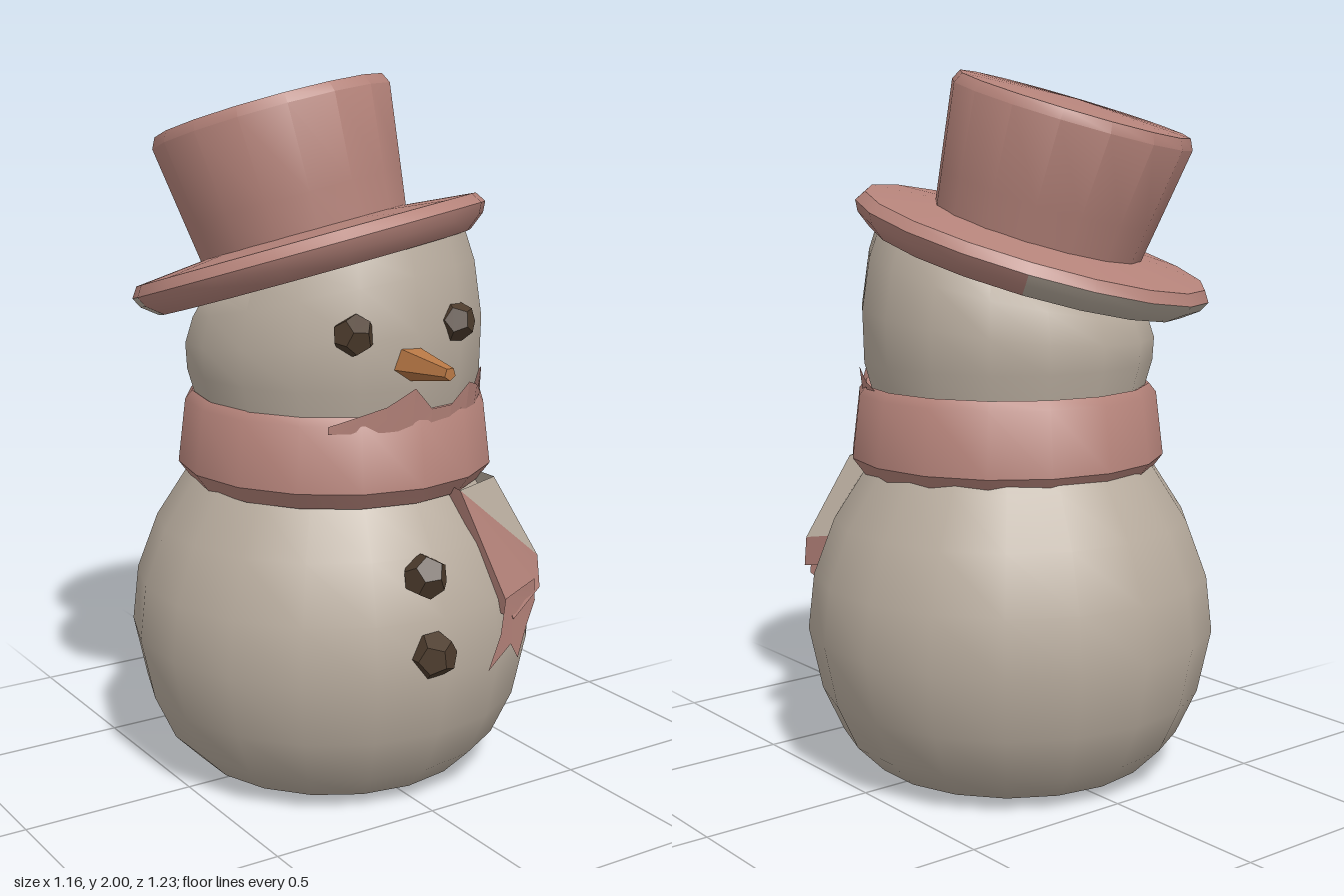
import * as THREE from 'three';
import { toCreasedNormals } from 'three/addons/utils/BufferGeometryUtils.js';

const material = (name, color, side = THREE.FrontSide) => {
  const m = new THREE.MeshStandardMaterial({ color, side });
  m.name = name;
  return m;
};

export function createModel() {
  const snow = material('snow', 0xb8ac9e, THREE.DoubleSide);
  const red = material('dusty red', 0xb5837a, THREE.DoubleSide);
  const coal = material('coal', 0x4d3c2d);
  const orange = material('carrot orange', 0xb87845);
  const model = new THREE.Group();
  model.name = 'snowman';

  const add = (name, geo, mat, parent = model, crease = 0.7) => {
    const mesh = new THREE.Mesh(toCreasedNormals(geo, crease), mat);
    mesh.name = name;
    parent.add(mesh);
    return mesh;
  };
  const lathe = (pts, seg, start = 0, length = Math.PI * 2) =>
    new THREE.LatheGeometry(pts.map(p => new THREE.Vector2(...p)), seg, start, length);
  // Fan of triangles over a list of corners
  const fan = pts => {
    const pos = [];
    for (let i = 1; i < pts.length - 1; i++) pos.push(...pts[0], ...pts[i], ...pts[i + 1]);
    const geo = new THREE.BufferGeometry();
    geo.setAttribute('position', new THREE.Float32BufferAttribute(pos, 3));
    return geo;
  };

  // Body
  add('body', lathe([[0, 0], [0.3, 0.005], [0.41, 0.03], [0.49, 0.11], [0.55, 0.24], [0.588, 0.42],
    [0.57, 0.58], [0.51, 0.74], [0.42, 0.88], [0.36, 0.96]], 18), snow, model, 1)
    .position.z = -0.025;

  // Head, its upper rings leaning with the hat
  const headGeo = lathe([[0.37, 0.95], [0.39, 1.09], [0.418, 1.19], [0.422, 1.3], [0.4, 1.41], [0.37, 1.48], [0, 1.5]], 16);
  const p = headGeo.attributes.position;
  for (let i = 0; i < p.count; i++) {
    const t = THREE.MathUtils.clamp((p.getY(i) - 1.2) / 0.28, 0, 1);
    p.setY(i, p.getY(i) + t * (0.16 * p.getX(i) + 0.26 * p.getZ(i)));
  }
  add('head', headGeo, snow, model, 1).position.set(-0.015, 0, 0.01);

  // Scarf ring
  add('scarf', lathe([[0.37, 0.9], [0.415, 0.87], [0.452, 0.92], [0.43, 1.1], [0.41, 1.125], [0.36, 1.1]], 16), red)
    .position.x = -0.005;

  // Ragged upper edge of the scarf on the front of the head: angle, height
  const rag = [[-0.6, 1.1], [-0.42, 1.125], [-0.22, 1.15], [-0.03, 1.195], [0.12, 1.13], [0.3, 1.13], [0.5, 1.18],
    [0.66, 1.16], [0.85, 1.125], [1.08, 1.175], [1.25, 1.14], [1.5, 1.1]];
  const onHead = (a, y) => {
    const r = 0.415 + Math.max(0, y - 1.1) * 0.15;
    return [r * Math.sin(a) - 0.015, y, r * Math.cos(a) + 0.01];
  };
  const edge = new THREE.Group();
  edge.name = 'scarfEdge';
  model.add(edge);
  for (let i = 0; i < rag.length - 1; i++) {
    const [a, ya] = rag[i], [b, yb] = rag[i + 1];
    add('scarfEdgePiece', fan([onHead(a, 1.08), onHead(b, 1.08), onHead(b, yb), onHead(a, ya)]), red, edge);
  }

  // Hanging scarf end: outer corners, then sides reaching back into the body
  const tail = new THREE.Group();
  tail.name = 'scarfTail';
  model.add(tail);
  const [tl, bl, br, r, tr] = [[0.13, 0.89, 0.43], [0.24, 0.53, 0.54], [0.42, 0.56, 0.43], [0.425, 0.65, 0.41], [0.3, 0.89, 0.36]];
  const back = ([x, y, z]) => [x * 0.85, y + 0.02, z - 0.12];
  add('tailFront', fan([tl, bl, br, r]), red, tail);
  add('tailCorner', fan([tl, r, tr]), snow, tail);
  add('tailLeftSide', fan([tl, back(tl), back(bl), bl]), red, tail);
  add('tailBottom', fan([bl, back(bl), back(br), br]), red, tail);
  add('tailEdge', fan([br, back(br), back(r), r]), red, tail);
  add('tailRightSide', fan([r, back(r), back(tr), tr]), snow, tail);

  // Fringe lying on the body below the scarf end
  const fringe = new THREE.ShapeGeometry(new THREE.Shape([[0.2, 0.6], [0.18, 0.5], [0.13, 0.41], [0.23, 0.46],
    [0.27, 0.405], [0.32, 0.48], [0.39, 0.53], [0.38, 0.6]].map(q => new THREE.Vector2(...q))));
  const f = fringe.attributes.position;
  for (let i = 0; i < f.count; i++) f.setZ(i, Math.sqrt(0.612 ** 2 - f.getX(i) ** 2) - 0.025);
  add('scarfFringe', fringe, red, tail);

  // Tilted top hat
  const hat = new THREE.Group();
  hat.name = 'hat';
  hat.position.set(-0.05, 1.51, -0.065);
  hat.quaternion.setFromUnitVectors(new THREE.Vector3(0, 1, 0), new THREE.Vector3(-0.17, 1, -0.25).normalize());
  model.add(hat);
  add('crown', lathe([[0.3, 0.02], [0.318, 0.15], [0.35, 0.385], [0.335, 0.415], [0, 0.43]], 16), red, hat);
  add('brimTop', lathe([[0.52, 0], [0.5, 0.03], [0.3, 0.05]], 18), red, hat);
  const under = [[0.28, -0.06], [0.46, -0.065], [0.505, -0.03], [0.52, 0]];
  const step = Math.PI / 9;
  add('brimUnderside', lathe(under, 12, 13 * step, 12 * step), red, hat);
  add('snowyUnderside', lathe(under, 6, 7 * step, 6 * step), snow, hat);

  // Coal eyes and buttons
  for (const [name, x, y, z, s, turn] of [
    ['rightEye', -0.19, 1.345, 0.385, 0.058, 0.3], ['leftEye', 0.13, 1.355, 0.395, 0.056, 0.9],
    ['upperButton', -0.04, 0.695, 0.51, 0.063, 0.5], ['lowerButton', -0.04, 0.485, 0.55, 0.066, 1.1]]) {
    const lump = add(name, new THREE.DodecahedronGeometry(s), coal, model, 0.3);
    lump.position.set(x, y, z);
    lump.rotation.set(turn * 0.4, 0.3, turn);
  }

  // Carrot nose
  const nose = add('nose', new THREE.CylinderGeometry(0.018, 0.056, 0.22, 5), orange);
  nose.rotation.set(Math.PI / 2, 0, 0);
  nose.position.set(-0.035, 1.262, 0.49);

  return model;
}
